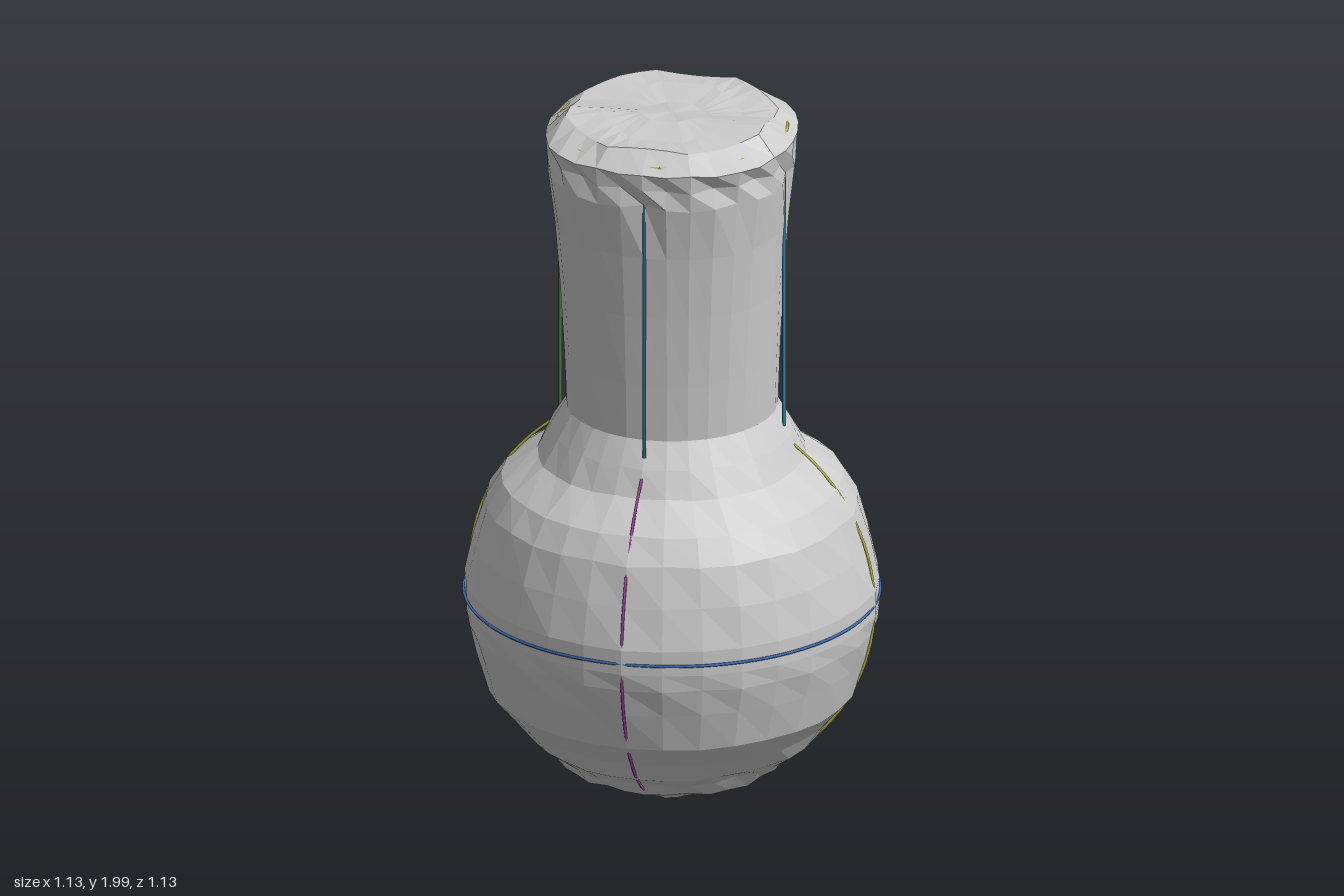
import * as THREE from 'three';

const grey = new THREE.MeshStandardMaterial({ color: 0xcccccc, flatShading: true, side: THREE.DoubleSide });
const SEGMENTS = 32;

// repeatable noise in -1..1
function noise(a, b) {
  const s = Math.sin((a + 1) * 127.1 + (b + 1) * 311.7) * 43758.5453;
  return 2 * (s - Math.floor(s)) - 1;
}

// faceted lathe; every vertex is moved by shape(ring, fold, radius, y, angle) -> [radius, y]
// fold counts segments away from the nearest axis (0..4), so the roughness repeats in all quarters
function roughLathe(name, profile, shape) {
  const geo = new THREE.LatheGeometry(profile.map(([r, y]) => new THREE.Vector2(r, y)), SEGMENTS);
  const pos = geo.attributes.position;
  for (let i = 0; i < pos.count; i++) {
    const ring = i % profile.length;
    const seg = Math.floor(i / profile.length) % SEGMENTS;
    const fold = Math.min(seg % 8, 8 - (seg % 8));
    const a = (seg / SEGMENTS) * Math.PI * 2;
    const [r, y] = shape(ring, fold, ...profile[ring], a);
    pos.setXYZ(i, r * Math.sin(a), y, r * Math.cos(a));
  }
  geo.computeVertexNormals();
  const mesh = new THREE.Mesh(geo, grey);
  mesh.name = name;
  return mesh;
}

function guideRing(name, radius, y, color, rx, ry) {
  const mesh = new THREE.Mesh(
    new THREE.TorusGeometry(radius, 0.004, 6, 96),
    new THREE.MeshStandardMaterial({ color }));
  mesh.rotation.set(rx, ry, 0);
  mesh.position.y = y;
  mesh.name = name;
  return mesh;
}

export function createModel() {
  const group = new THREE.Group();

  // round bulb, slightly wavy in height, with a small lumpy foot
  const bulb = [
    [0, 0.002], [0.07, 0.012], [0.13, 0.048], [0.2, 0.088], [0.3, 0.118], [0.335, 0.16], [0.392, 0.195],
    [0.433, 0.255], [0.496, 0.33], [0.532, 0.44], [0.551, 0.52], [0.564, 0.57], [0.564, 0.64],
    [0.536, 0.75], [0.502, 0.86], [0.458, 0.93], [0.365, 1.0], [0.325, 1.07], [0.284, 1.142],
  ];
  const foot = 6, equator = [11, 12];
  group.add(roughLathe('bulb', bulb, (ring, fold, r, y) => {
    if (ring === 0 || ring === bulb.length - 1) return [r, y];
    if (equator.includes(ring)) return [r - (fold > 0 ? 0.006 : 0), y];
    const rough = ring < foot ? 0.006 : 0.004;
    return [r + noise(ring, fold) * rough, y + noise(fold, ring) * rough];
  }));

  // neck flaring upwards, fuller on the diagonals, to a ragged rim and an eight-sided uneven top
  const neck = [
    [0.283, 1.1], [0.285, 1.14], [0.29, 1.3], [0.299, 1.5], [0.311, 1.68], [0.326, 1.83],
    [0.331, 1.88], [0.334, 1.927], [0.268, 1.98], [0.18, 1.98], [0.09, 1.98], [0, 1.98],
  ];
  const rim = 5, lip = 8;
  group.add(roughLathe('neck', neck, (ring, fold, r, y, a) => {
    if (ring >= lip) {
      const toSide = Math.min(fold, 4 - fold) * Math.PI * 2 / SEGMENTS;
      return [r / Math.cos(toSide), y + 0.012 * Math.sin(r * Math.cos(a) * 24)];
    }
    const swell = 0.02 * Math.max(0, (y - 1.14) / 0.79) * Math.sin(2 * a) ** 2;
    if (ring < rim) return [r + swell, y];
    const notch = ring === rim && fold === 0 || ring === rim + 1 && fold % 2 === 1 ? 0.016 : 0;
    return [r + swell - notch + noise(ring, fold) * 0.004, y + noise(fold, ring) * 0.008];
  }));

  // thin rings around the bulb and at the bevel of the rim
  const q = Math.PI / 2;
  group.add(guideRing('bulbEquatorRing', 0.56, 0.6, 0x3d6fb5, q, 0));
  group.add(guideRing('bulbSideRing', 0.56, 0.6, 0xb8bf3f, 0, 0));
  group.add(guideRing('bulbFrontBackRing', 0.56, 0.6, 0xa0409a, 0, q));
  group.add(guideRing('rimRing', 0.31, 1.945, 0xb8bf3f, q, 0));

  // four thin upright rods along the neck
  [['front', 0, 1, 0x2f6670], ['left', 1, 0, 0x3a8aa5], ['back', 0, -1, 0x5a3f95], ['right', -1, 0, 0x4a7a48]]
    .forEach(([side, x, z, color]) => {
      const rod = new THREE.Mesh(
        new THREE.CylinderGeometry(0.005, 0.005, 0.84, 8),
        new THREE.MeshStandardMaterial({ color }));
      rod.position.set(x * 0.31, 1.52, z * 0.31);
      rod.name = side + 'NeckRod';
      group.add(rod);
    });

  return group;
}
